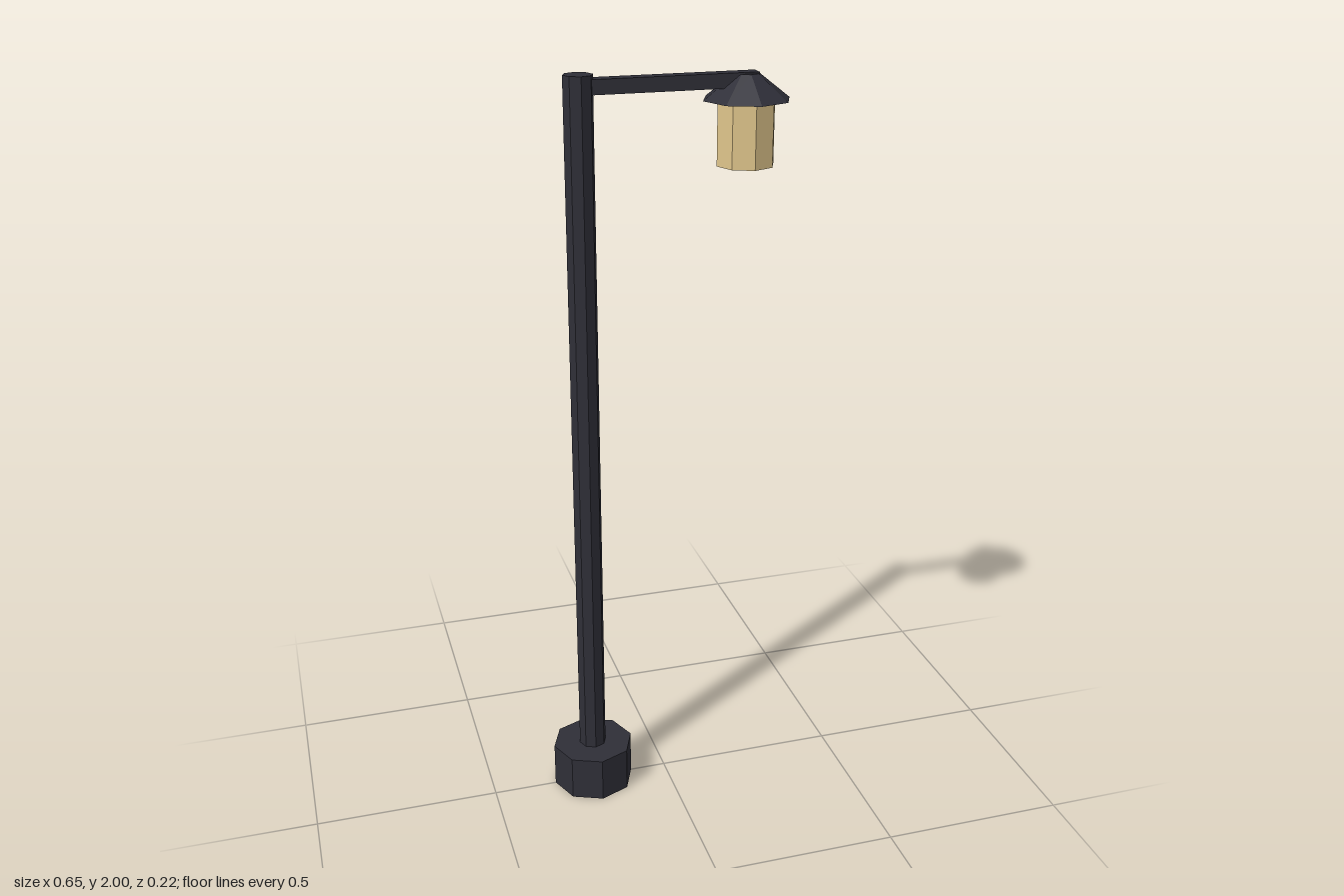
import * as THREE from 'three';

export function createModel() {
  const group = new THREE.Group();
  const iron = new THREE.MeshStandardMaterial({ color: 0x2f2f38 });
  iron.name = 'dark iron';
  const glass = new THREE.MeshStandardMaterial({ color: 0xe0c68c });
  glass.name = 'warm glass';

  const poleX = -0.2125, lampX = 0.2125;

  const add = (name, geometry, material, x, y) => {
    // unshared vertices give every facet its own flat normal
    const flat = geometry.toNonIndexed();
    flat.computeVertexNormals();
    const mesh = new THREE.Mesh(flat, material);
    mesh.name = name;
    mesh.position.set(x, y, 0);
    group.add(mesh);
  };
  // eight-sided prism or cone frustum between two heights
  const octagon = (name, material, x, y0, y1, rBottom, rTop = rBottom) =>
    add(name, new THREE.CylinderGeometry(rTop, rBottom, y1 - y0, 8), material, x, (y0 + y1) / 2);

  // Post
  octagon('base', iron, poleX, 0, 0.125, 0.1125);
  octagon('pole', iron, poleX, 0.125, 2, 0.0375);

  // Arm from the pole out over the lantern
  add('arm', new THREE.BoxGeometry(0.45, 0.0365, 0.0375), iron, 0.0135, 1.971);

  // Lantern
  octagon('hood', iron, lampX, 1.922, 1.985, 0.1125, 0.031);
  octagon('lantern', glass, lampX, 1.76, 1.922, 0.075);

  return group;
}
